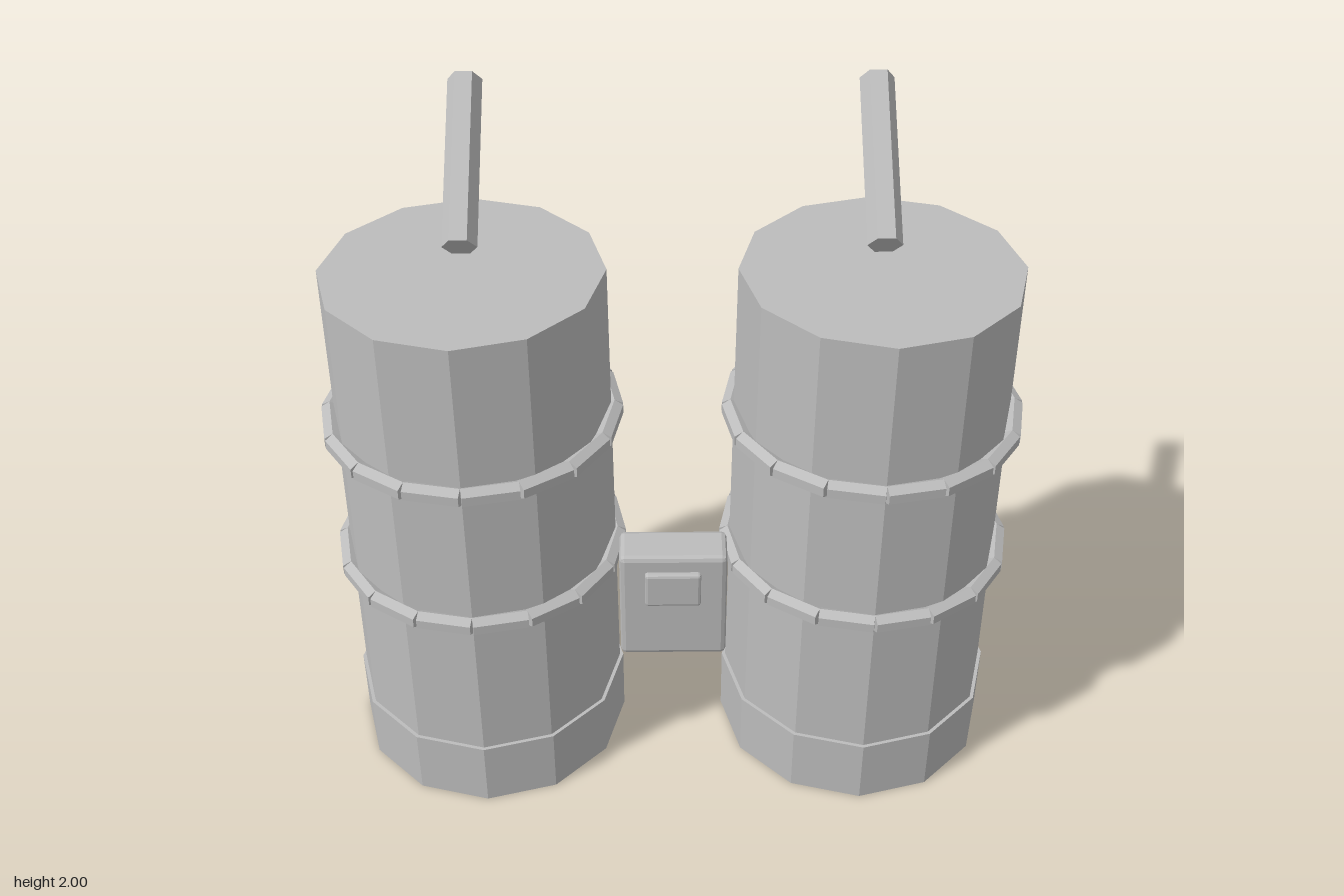
import * as THREE from 'three';
import { mergeGeometries } from 'three/addons/utils/BufferGeometryUtils.js';
import { RoundedBoxGeometry } from 'three/addons/geometries/RoundedBoxGeometry.js';

const steel = new THREE.MeshStandardMaterial({ color: 0xbcbcbc, flatShading: true });
steel.name = 'grey steel';

function part(name, geometry, x = 0, y = 0, z = 0) {
  const mesh = new THREE.Mesh(geometry, steel);
  mesh.name = name;
  mesh.position.set(x, y, z);
  return mesh;
}

// A hoop made of short straight hexagonal pipes laid end to end
function hoopGeometry(radius, tube, count) {
  const half = Math.PI / count;
  const pieces = [];
  for (let i = 0; i < count; i++) {
    const pipe = new THREE.CylinderGeometry(tube, tube, 2 * radius * Math.sin(half), 6, 1, false, Math.PI / 2);
    pipe.rotateZ(Math.PI / 2);
    pipe.translate(0, 0, radius * Math.cos(half));
    pipe.rotateY((2 * i + 1) * half);
    pieces.push(pipe);
  }
  return mergeGeometries(pieces);
}

function createTank(name, x) {
  const tank = new THREE.Group();
  tank.name = name;
  tank.position.set(x, 0, -0.027);

  // Slightly tapered body on a wider foot
  tank.add(part('tankBody', new THREE.CylinderGeometry(0.385, 0.397, 1.6, 12), 0, 0.81));
  tank.add(part('tankBase', new THREE.CylinderGeometry(0.406, 0.406, 0.21, 12), 0, 0.105));

  // Two hoops
  const hoop = hoopGeometry(0.398, 0.028, 16);
  tank.add(part('lowerHoop', hoop, 0, 0.7));
  tank.add(part('upperHoop', hoop, 0, 1.157));

  // Slanted hexagonal pipe above the lid, leaning to the back
  const pipe = part('topPipe', new THREE.CylinderGeometry(0.0475, 0.0475, 0.5, 6, 1, false, Math.PI / 2), 0, 1.82, -0.208);
  pipe.rotation.x = -Math.atan2(0.411, 0.281);
  tank.add(pipe);
  return tank;
}

export function createModel() {
  const model = new THREE.Group();
  model.name = 'twinTanks';
  model.add(createTank('rightTank', -0.56), createTank('leftTank', 0.56));

  // Control box between the tanks, with a raised display
  const box = new THREE.Group();
  box.name = 'controlBox';
  box.add(part('boxCase', new RoundedBoxGeometry(0.288, 0.345, 0.12, 1, 0.014), -0.002, 0.84, 0.395));
  box.add(part('boxDisplay', new RoundedBoxGeometry(0.15, 0.108, 0.04, 1, 0.008), -0.003, 0.911, 0.452));
  model.add(box);
  return model;
}
